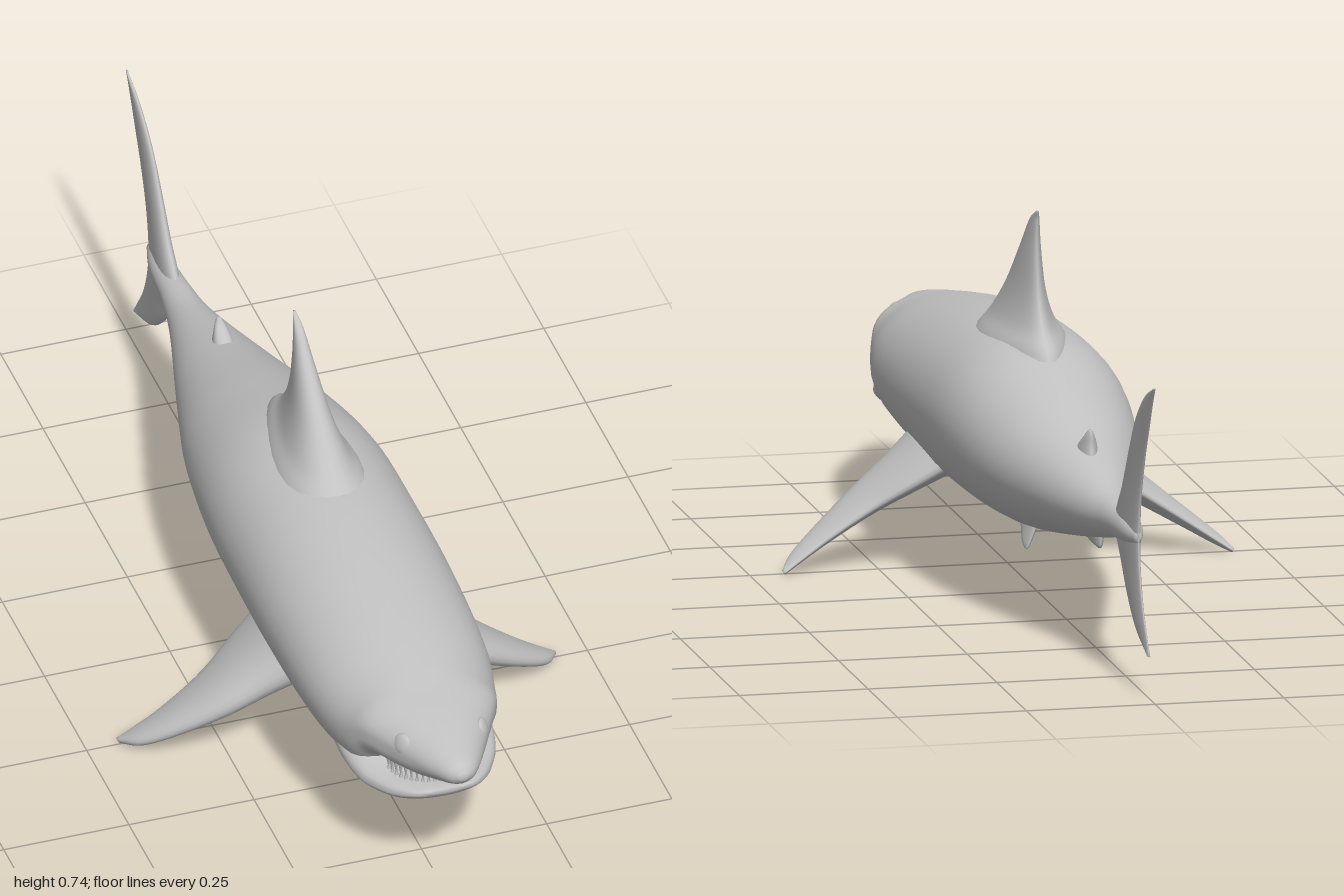
import * as THREE from 'three';

const skin = new THREE.MeshStandardMaterial({ color: 0xc2c2c2 });
skin.name = 'grey skin';

// Skin a list of rings (arrays of Vector3) and close both ends
function loft(rings) {
  const n = rings[0].length, pos = [], idx = [];
  rings.forEach(r => r.forEach(p => pos.push(p.x, p.y, p.z)));
  for (let i = 0; i < rings.length - 1; i++) {
    for (let j = 0; j < n; j++) {
      const a = i * n + j, b = i * n + (j + 1) % n;
      idx.push(a, a + n, b, b, a + n, b + n);
    }
  }
  [0, rings.length - 1].forEach((r, end) => {
    const c = new THREE.Vector3();
    rings[r].forEach(p => c.addScaledVector(p, 1 / n));
    const ci = pos.length / 3;
    pos.push(c.x, c.y, c.z);
    for (let j = 0; j < n; j++) {
      const a = r * n + j, b = r * n + (j + 1) % n;
      if (end) idx.push(ci, b, a); else idx.push(ci, a, b);
    }
  });
  const g = new THREE.BufferGeometry();
  g.setAttribute('position', new THREE.Float32BufferAttribute(pos, 3));
  g.setIndex(idx);
  g.computeVertexNormals();
  return g;
}

// Smoothly resample rows of up to six numbers
function resample(rows, count) {
  const curve = k => new THREE.CatmullRomCurve3(
    rows.map(r => new THREE.Vector3(r[k], r[k + 1], r[k + 2] ?? 0)), false, 'catmullrom', 0.5);
  const a = curve(0), b = curve(3);
  return Array.from({ length: count + 1 }, (_, i) =>
    [...a.getPoint(i / count).toArray(), ...b.getPoint(i / count).toArray()]);
}

// Trunk rows: z, top, bottom, half width, roundness above, roundness below
function trunk(rows, count, sides = 40) {
  return loft(resample(rows, count).map(([z, top, bottom, w, eu, el]) => {
    const mid = (top + bottom) / 2, h = (top - bottom) / 2;
    return Array.from({ length: sides }, (_, j) => {
      const t = j / sides * Math.PI * 2, c = Math.cos(t), s = Math.sin(t);
      const p = 2 / (s >= 0 ? eu : el);
      return new THREE.Vector3(w * Math.sign(c) * Math.abs(c) ** p,
        mid + h * Math.sign(s) * Math.abs(s) ** p, z);
    });
  }));
}

// Fin rows: span, leading z, trailing z, half thickness
function fin(rows, count = 28, sides = 24) {
  return loft(resample(rows, count).map(([y, lead, trail, thick]) =>
    Array.from({ length: sides }, (_, j) => {
      const t = j / sides * Math.PI * 2, s = Math.sin(t);
      return new THREE.Vector3(thick * Math.cos(t) * (0.9 + 0.3 * s), y,
        (lead + trail) / 2 + (lead - trail) / 2 * s);
    })));
}

export function createModel() {
  const model = new THREE.Group();
  const add = (name, geometry, parent = model) => {
    const m = new THREE.Mesh(geometry, skin);
    m.name = name;
    parent.add(m);
    return m;
  };

  // Body with snout and upper jaw
  add('body', trunk([
    [1.0, 0.352, 0.338, 0.008, 2, 2],
    [0.985, 0.368, 0.322, 0.03, 2, 2],
    [0.95, 0.379, 0.305, 0.052, 2, 2],
    [0.9, 0.391, 0.288, 0.078, 2, 2.5],
    [0.85, 0.402, 0.282, 0.104, 2, 3],
    [0.79, 0.413, 0.27, 0.136, 2, 3],
    [0.73, 0.426, 0.195, 0.156, 2, 2.3],
    [0.6, 0.45, 0.172, 0.181, 2, 2.1],
    [0.4, 0.479, 0.155, 0.19, 2, 2],
    [0.2, 0.496, 0.146, 0.189, 2, 2],
    [0, 0.493, 0.15, 0.182, 2, 2],
    [-0.2, 0.444, 0.166, 0.154, 2, 2],
    [-0.4, 0.386, 0.2, 0.103, 2, 2],
    [-0.6, 0.338, 0.24, 0.048, 2, 2],
    [-0.7, 0.328, 0.262, 0.031, 2, 2],
    [-0.8, 0.322, 0.272, 0.022, 2, 2],
    [-0.86, 0.305, 0.285, 0.006, 2, 2],
  ], 96));

  // Lower jaw
  add('lowerJaw', trunk([
    [0.905, 0.254, 0.244, 0.03, 3, 2],
    [0.893, 0.256, 0.23, 0.062, 3, 2],
    [0.86, 0.257, 0.21, 0.095, 3, 2],
    [0.82, 0.258, 0.2, 0.12, 3, 2],
    [0.78, 0.268, 0.194, 0.138, 2.6, 2],
    [0.72, 0.3, 0.189, 0.15, 2, 2],
    [0.62, 0.33, 0.19, 0.15, 2, 2],
  ], 36));

  // Two rows of teeth along the jaw arc
  const tooth = new THREE.ConeGeometry(0.0055, 0.03, 6);
  const teeth = new THREE.Group();
  teeth.name = 'teeth';
  model.add(teeth);
  for (let i = 0; i < 22; i++) {
    const a = (i / 21 - 0.5) * 2.7;
    const x = 0.09 * Math.sin(a), z = 0.795 + 0.09 * Math.cos(a);
    const upper = add('upperTooth', tooth, teeth);
    upper.position.set(x, 0.277, z);
    upper.rotation.x = Math.PI;
    add('lowerTooth', tooth, teeth).position.set(x * 0.96, 0.262, z - 0.006);
  }

  // Fins along the middle
  add('dorsalFin', fin([
    [0.42, 0.33, -0.13, 0.11],
    [0.48, 0.275, -0.1, 0.085],
    [0.52, 0.23, -0.05, 0.058],
    [0.58, 0.165, -0.015, 0.036],
    [0.66, 0.09, 0, 0.02],
    [0.72, 0.035, -0.001, 0.01],
    [0.742, 0, -0.008, 0.003],
  ]));
  add('tailFin', fin([
    [0.085, -0.943, -0.952, 0.003],
    [0.12, -0.85, -0.928, 0.007],
    [0.17, -0.785, -0.895, 0.01],
    [0.235, -0.73, -0.87, 0.013],
    [0.3, -0.69, -0.862, 0.017],
    [0.38, -0.75, -0.876, 0.014],
    [0.46, -0.8, -0.91, 0.011],
    [0.53, -0.85, -0.95, 0.008],
    [0.585, -0.92, -0.981, 0.005],
    [0.615, -0.99, -1.0, 0.002],
  ], 40));
  add('rearDorsalFin', fin([
    [0.36, -0.385, -0.47, 0.024],
    [0.385, -0.41, -0.462, 0.018],
    [0.405, -0.436, -0.46, 0.01],
    [0.416, -0.445, -0.457, 0.004],
  ], 12));
  add('analFin', fin([
    [0.205, -0.525, -0.535, 0.004],
    [0.215, -0.505, -0.54, 0.01],
    [0.25, -0.47, -0.545, 0.018],
  ], 12));

  // Paired fins and eyes
  const pectoral = fin([
    [0, 0.43, 0.17, 0.062],
    [0.1, 0.4, 0.2, 0.042],
    [0.2, 0.375, 0.235, 0.029],
    [0.3, 0.335, 0.245, 0.019],
    [0.37, 0.295, 0.24, 0.012],
    [0.405, 0.25, 0.235, 0.005],
  ]);
  const pelvic = fin([
    [0, -0.1, -0.22, 0.02],
    [0.035, -0.14, -0.22, 0.013],
    [0.06, -0.175, -0.218, 0.008],
    [0.07, -0.2, -0.215, 0.003],
  ], 12);
  const eye = new THREE.SphereGeometry(0.021, 24, 16);
  for (const [side, s] of [['left', 1], ['right', -1]]) {
    const p = add(side + 'PectoralFin', pectoral);
    p.position.set(0.1 * s, 0.235, 0);
    p.rotation.z = -2.165 * s;
    const v = add(side + 'PelvicFin', pelvic);
    v.position.set(0.045 * s, 0.202, 0);
    v.rotation.z = -2.8 * s;
    const e = add(side + 'Eye', eye);
    e.position.set(0.08 * s, 0.357, 0.875);
    e.scale.set(0.4, 1, 1);
    e.rotation.set(0, -0.5 * s, 0.3 * s);
  }
  return model;
}
